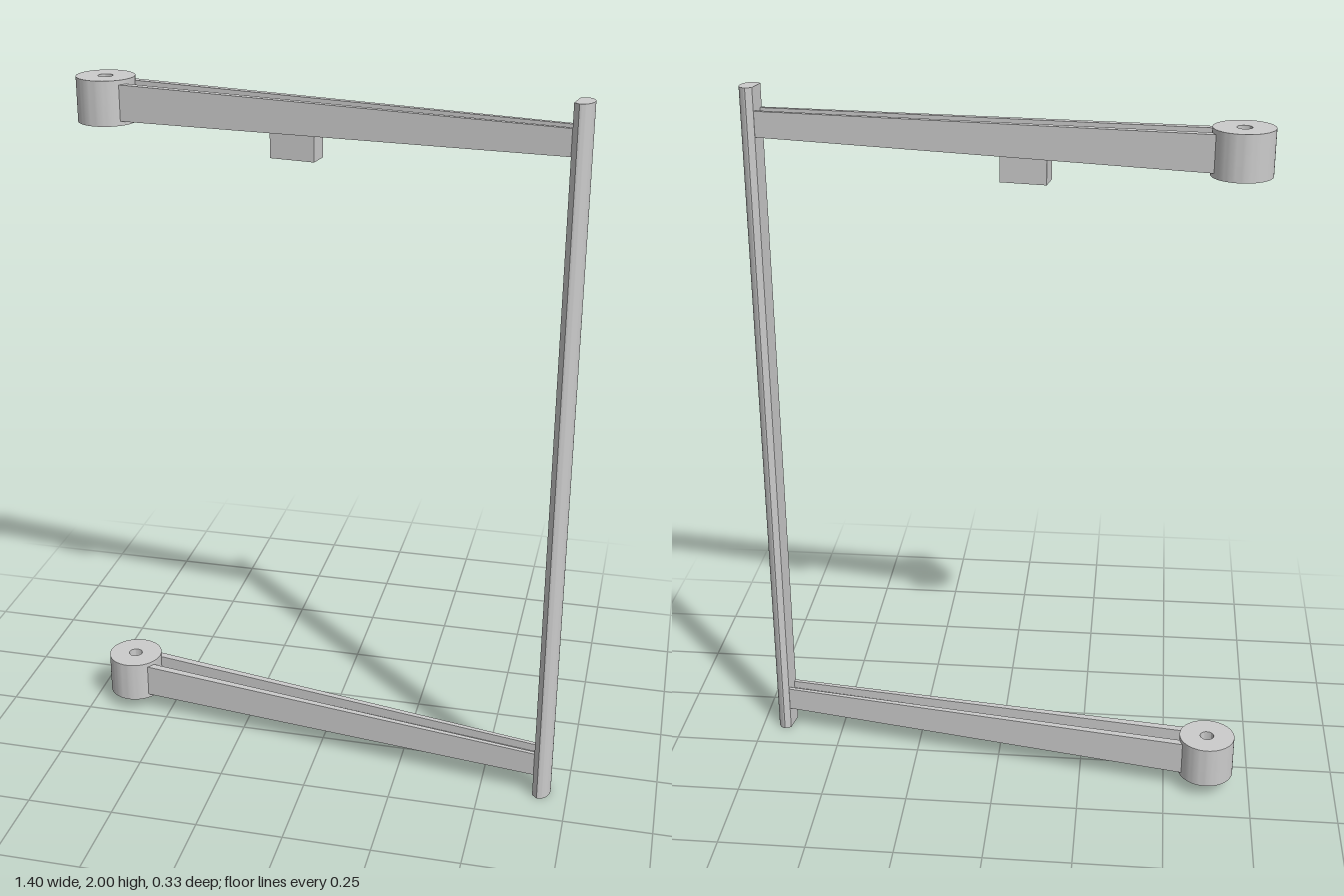
import * as THREE from 'three';
import { toCreasedNormals } from 'three/addons/utils/BufferGeometryUtils.js';

const material = new THREE.MeshStandardMaterial({ color: 0xcccccc });

function mesh(name, geometry) {
  const m = new THREE.Mesh(geometry, material);
  m.name = name;
  return m;
}

// Extrude a plan outline (x, z) upwards from y0 to y1, smooth on its curves
function upright(shape, y0, y1) {
  const g = new THREE.ExtrudeGeometry(shape, { depth: y1 - y0, bevelEnabled: false, curveSegments: 32 });
  g.rotateX(Math.PI / 2).translate(0, y1, 0);
  return toCreasedNormals(g, 0.5);
}

// Bar along x whose two ends have their own z range and height
function taperedBar(x0, x1, start, end) {
  const g = new THREE.BoxGeometry(1, 1, 1);
  const p = g.attributes.position;
  for (let i = 0; i < p.count; i++) {
    const e = p.getX(i) < 0 ? start : end;
    p.setXYZ(i, p.getX(i) < 0 ? x0 : x1, p.getY(i) * e.h, p.getZ(i) < 0 ? e.z0 : e.z1);
  }
  g.computeVertexNormals();
  return g;
}

const REACH = 1.295; // hub axis to the flat of the handle

function createArm() {
  const arm = new THREE.Group();
  arm.name = 'arm';

  // Pivot hub with a through hole
  const ring = new THREE.Shape().absarc(0, 0, 0.08, 0, Math.PI * 2);
  ring.holes.push(new THREE.Path().absarc(0, 0, 0.02, 0, Math.PI * 2, true));
  arm.add(mesh('pivotHub', upright(ring, -0.061, 0.061)));

  // Two side flanges joined by a thin web
  const x0 = 0.055, x1 = REACH + 0.005;
  arm.add(mesh('frontFlange', taperedBar(x0, x1,
    { z0: 0.025, z1: 0.047, h: 0.098 }, { z0: 0.0175, z1: 0.029, h: 0.07 })));
  arm.add(mesh('backFlange', taperedBar(x0, x1,
    { z0: -0.047, z1: -0.025, h: 0.098 }, { z0: -0.029, z1: -0.0175, h: 0.07 })));
  arm.add(mesh('web', taperedBar(x0, x1,
    { z0: -0.026, z1: 0.026, h: 0.025 }, { z0: -0.0185, z1: 0.0185, h: 0.025 })));
  return arm;
}

export function createModel() {
  const model = new THREE.Group();
  model.name = 'swingHandle';

  // Everything is laid out along x from the hub axis, then turned
  const frame = new THREE.Group();
  frame.name = 'frame';
  frame.position.set(-0.622, 0, -0.086);
  frame.rotation.y = -0.157;
  model.add(frame);

  for (const [name, y] of [['lowerArm', 0.104], ['upperArm', 1.902]]) {
    const arm = createArm();
    arm.name = name;
    arm.position.y = y;
    frame.add(arm);
  }

  // Upright handle: flat inside, rounded outside
  const d = new THREE.Shape();
  d.moveTo(0, -0.03);
  d.lineTo(0.016, -0.041);
  d.bezierCurveTo(0.055, -0.038, 0.055, 0.038, 0.016, 0.041);
  d.lineTo(0, 0.03);
  d.closePath();
  const handle = mesh('handleBar', upright(d, 0, 2));
  handle.position.x = REACH;
  frame.add(handle);

  // Stop block under the upper arm, set into its web
  const block = mesh('stopBlock', new THREE.BoxGeometry(0.125, 0.135, 0.062));
  block.position.set(0.558, 1.8575, 0);
  frame.add(block);

  return model;
}
